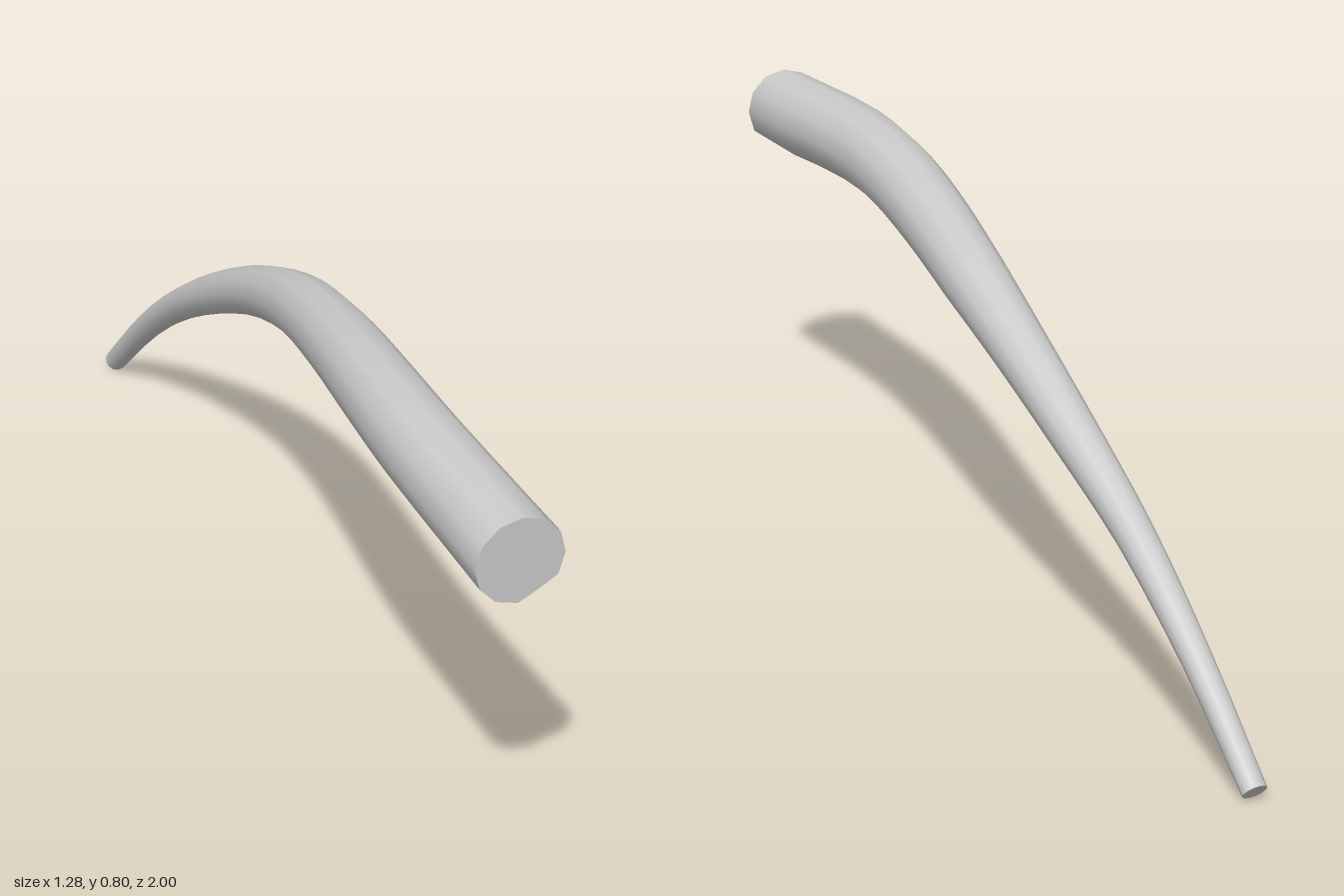
import * as THREE from 'three';

// Centre line and radius of the tapering horn: x, y, z, radius
const SECTIONS = [
  [-0.568, 0.699, 0.96, 0.086],
  [-0.365, 0.72, 0.6, 0.081],
  [-0.23, 0.715, 0.4, 0.077],
  [-0.08, 0.69, 0.2, 0.072],
  [0.07, 0.645, 0, 0.066],
  [0.202, 0.575, -0.2, 0.056],
  [0.315, 0.476, -0.4, 0.047],
  [0.417, 0.355, -0.6, 0.037],
  [0.522, 0.197, -0.8, 0.029],
  [0.612, 0.021, -0.978, 0.024],
];
const SIDES = 12;
const RINGS = 27;
const NOTCH = 10; // rim corner that is dented at the thick end

function makeGeometry(points, index) {
  const g = new THREE.BufferGeometry();
  g.setAttribute('position', new THREE.Float32BufferAttribute(points.flatMap((p) => p.toArray()), 3));
  g.setIndex(index);
  g.computeVertexNormals();
  return g;
}

// Circular cross-sections square to the curve
function buildRings() {
  const curve = new THREE.CatmullRomCurve3(SECTIONS.map(([x, y, z]) => new THREE.Vector3(x, y, z)));
  const up = new THREE.Vector3(0, 1, 0);
  const rings = [];
  for (let i = 0; i <= RINGS; i++) {
    const t = i / RINGS;
    const f = t * (SECTIONS.length - 1);
    const k = Math.min(Math.floor(f), SECTIONS.length - 2);
    const radius = THREE.MathUtils.lerp(SECTIONS[k][3], SECTIONS[k + 1][3], f - k);
    const centre = curve.getPoint(t);
    const tangent = curve.getTangent(t);
    const side = tangent.clone().cross(up).normalize();
    const rise = side.clone().cross(tangent);
    const ring = [];
    for (let j = 0; j < SIDES; j++) {
      const a = (j / SIDES) * Math.PI * 2;
      const r = i === 0 && j === NOTCH ? radius * 0.88 : radius;
      ring.push(centre.clone().addScaledVector(side, r * Math.cos(a)).addScaledVector(rise, r * Math.sin(a)));
    }
    rings.push({ centre, ring });
  }
  return rings;
}

// Flat end disc as a fan round its centre
function capGeometry({ centre, ring }, flip) {
  const index = [];
  for (let j = 0; j < SIDES; j++) {
    const a = j + 1;
    const b = ((j + 1) % SIDES) + 1;
    index.push(0, flip ? b : a, flip ? a : b);
  }
  return makeGeometry([centre, ...ring], index);
}

export function createModel() {
  const group = new THREE.Group();
  group.name = 'curvedHorn';
  const material = new THREE.MeshStandardMaterial({ color: 0xcccccc });
  const add = (name, geometry) => {
    const mesh = new THREE.Mesh(geometry, material);
    mesh.name = name;
    group.add(mesh);
  };

  // Smooth skin between neighbouring rings
  const rings = buildRings();
  const index = [];
  for (let i = 0; i < RINGS; i++) {
    for (let j = 0; j < SIDES; j++) {
      const n = (j + 1) % SIDES;
      const a = i * SIDES + j;
      const b = i * SIDES + n;
      index.push(a, a + SIDES, b, b, a + SIDES, b + SIDES);
    }
  }
  add('shaft', makeGeometry(rings.flatMap((r) => r.ring), index));

  // Closed ends
  add('baseCap', capGeometry(rings[0], false));
  add('tipCap', capGeometry(rings[RINGS], true));
  return group;
}
